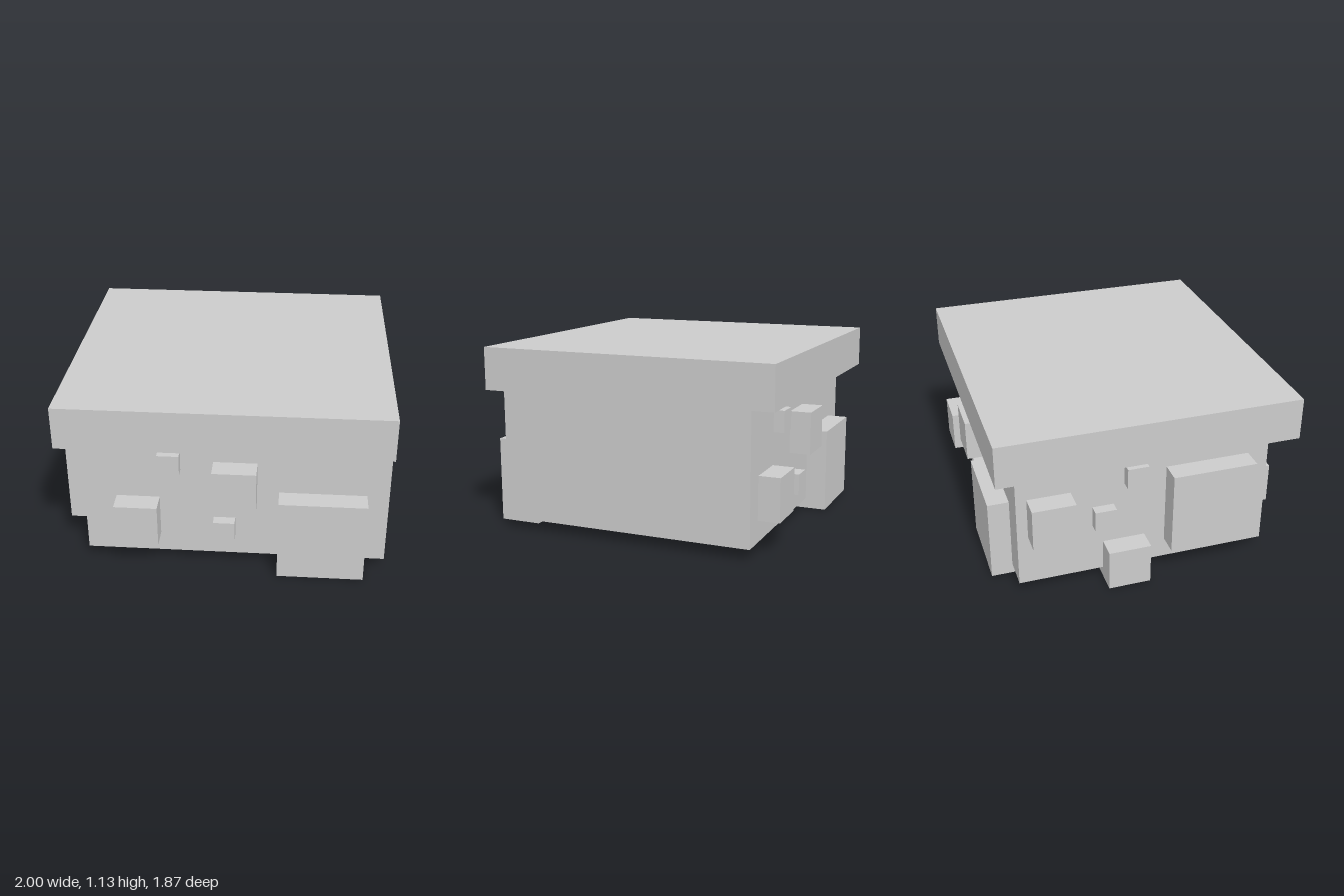
import * as THREE from 'three';

const U = 1 / 15; // block unit

export function createModel() {
  const group = new THREE.Group();
  const material = new THREE.MeshStandardMaterial({ color: 0xcccccc, flatShading: true });

  // Box given by its corner-to-corner ranges in block units
  function block(name, [x0, x1], [y0, y1], [z0, z1]) {
    const geometry = new THREE.BoxGeometry((x1 - x0) * U, (y1 - y0) * U, (z1 - z0) * U);
    const mesh = new THREE.Mesh(geometry, material);
    mesh.position.set((x0 + x1) * U / 2, (y0 + y1) * U / 2, (z0 + z1) * U / 2);
    mesh.name = name;
    group.add(mesh);
  }

  // Main volume and overhanging slab, flush on the +x side
  block('body', [-13, 15], [1, 13], [-12, 12]);
  block('topSlab', [-15, 15], [13, 17], [-14, 14]);

  // Protruding blocks shared by front and back: name, start along wall, bottom, size, outer depth
  const wallBlocks = [
    ['lowStud', -10, 3, 4, 14],
    ['highStud', -1, 7, 4, 14],
    ['smallHighStud', -6, 10, 2, 13],
    ['smallLowStud', -1, 3, 2, 13],
    ['largePanel', 5, 0, 8, 14],
  ];
  for (const [name, u, y, size, outer] of wallBlocks) {
    const inner = outer - Math.min(size, 4);
    block(name + 'Front', [u, u + size], [y, y + size], [inner, outer]);
    // Back wall: turned half around and shifted
    const v = 3 - u;
    block(name + 'Back', [v - size, v], [y, y + size], [-outer, -inner]);
  }

  // Protruding blocks on the -x wall: name, start z, bottom, size, outer depth
  const sideBlocks = [
    ['sideStud', -11, 6, 4, 15],
    ['sideFootStud', -4, 0, 4, 15],
    ['sideLargePanel', 2, 3, 8, 15],
    ['sideSmallLowStud', -5, 6, 2, 14],
    ['sideSmallHighStud', -2, 10, 2, 14],
  ];
  for (const [name, z, y, size, outer] of sideBlocks) {
    block(name, [-outer, -outer + Math.min(size, 4)], [y, y + size], [z, z + size]);
  }

  return group;
}
